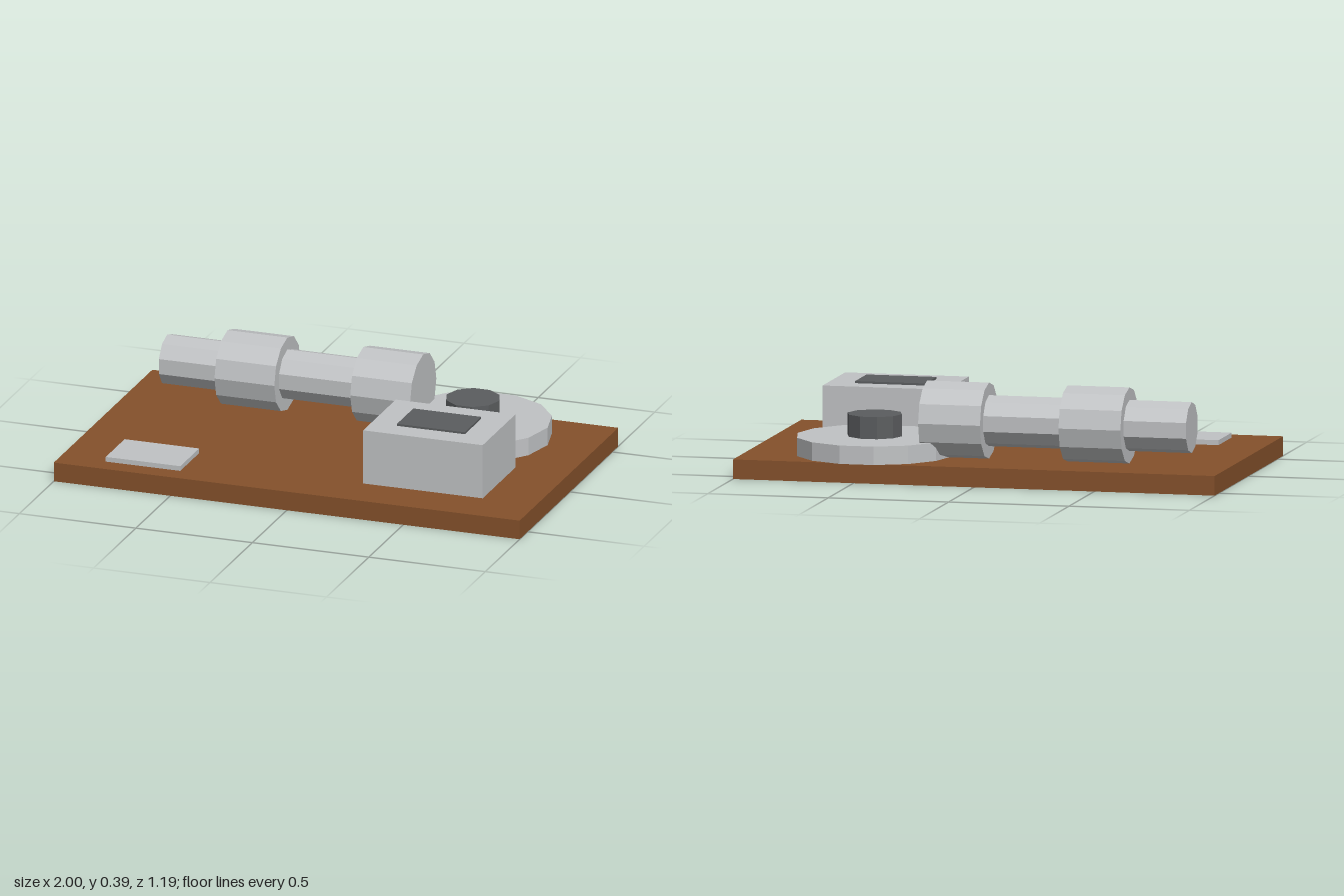
import * as THREE from 'three';

export function createModel() {
  const model = new THREE.Group();

  const material = (name, color, flatShading = true) => {
    const m = new THREE.MeshStandardMaterial({ color, flatShading });
    m.name = name;
    return m;
  };
  const brown = material('brown board', 0x85512b);
  const grey = material('light grey', 0xc0c2c4);
  const dark = material('dark grey', 0x5b5d5f);

  const add = (name, geometry, mat, x, y, z) => {
    const mesh = new THREE.Mesh(geometry, mat);
    mesh.name = name;
    mesh.position.set(x, y, z);
    model.add(mesh);
    return mesh;
  };

  // Box given by its lower and upper corners
  const box = (name, mat, [x0, y0, z0], [x1, y1, z1]) =>
    add(name, new THREE.BoxGeometry(x1 - x0, y1 - y0, z1 - z0), mat,
      (x0 + x1) / 2, (y0 + y1) / 2, (z0 + z1) / 2);

  // Faceted cylinder with a corner pointing to +x
  const prism = (radius, length, sides) =>
    new THREE.CylinderGeometry(radius, radius, length, sides, 1, false, Math.PI / 2);

  // Base and small flat plate
  const top = 0.08;
  box('baseBoard', brown, [-1, 0, -0.57], [1, top, 0.594]);
  box('smallPlate', grey, [-0.807, top, 0.288], [-0.487, 0.1, 0.511]);

  // Block with a dark panel on top
  box('block', grey, [0.257, top, 0.012], [0.77, 0.308, 0.398]);
  box('blockPanel', dark, [0.367, 0.308, 0.108], [0.658, 0.3165, 0.301]);

  // Disc with a raised hub
  add('disc', prism(0.32, 0.075, 14), grey, 0.482, top + 0.0375, -0.281);
  add('discHub', prism(0.1125, 0.09, 10), dark, 0.482, 0.2, -0.279);

  // Horizontal stepped shaft: thin and thick sections in turn
  const sections = [
    ['shaftEnd', -0.842, -0.583, 0.104, 10],
    ['shaftCollar', -0.583, -0.326, 0.155, 12],
    ['shaftMiddle', -0.326, 0, 0.104, 10],
    ['shaftHead', 0, 0.257, 0.155, 12],
  ];
  for (const [name, x0, x1, radius, sides] of sections) {
    const part = add(name, prism(radius, x1 - x0, sides), grey, (x0 + x1) / 2, 0.236, -0.311);
    part.rotation.z = Math.PI / 2;
  }

  return model;
}
